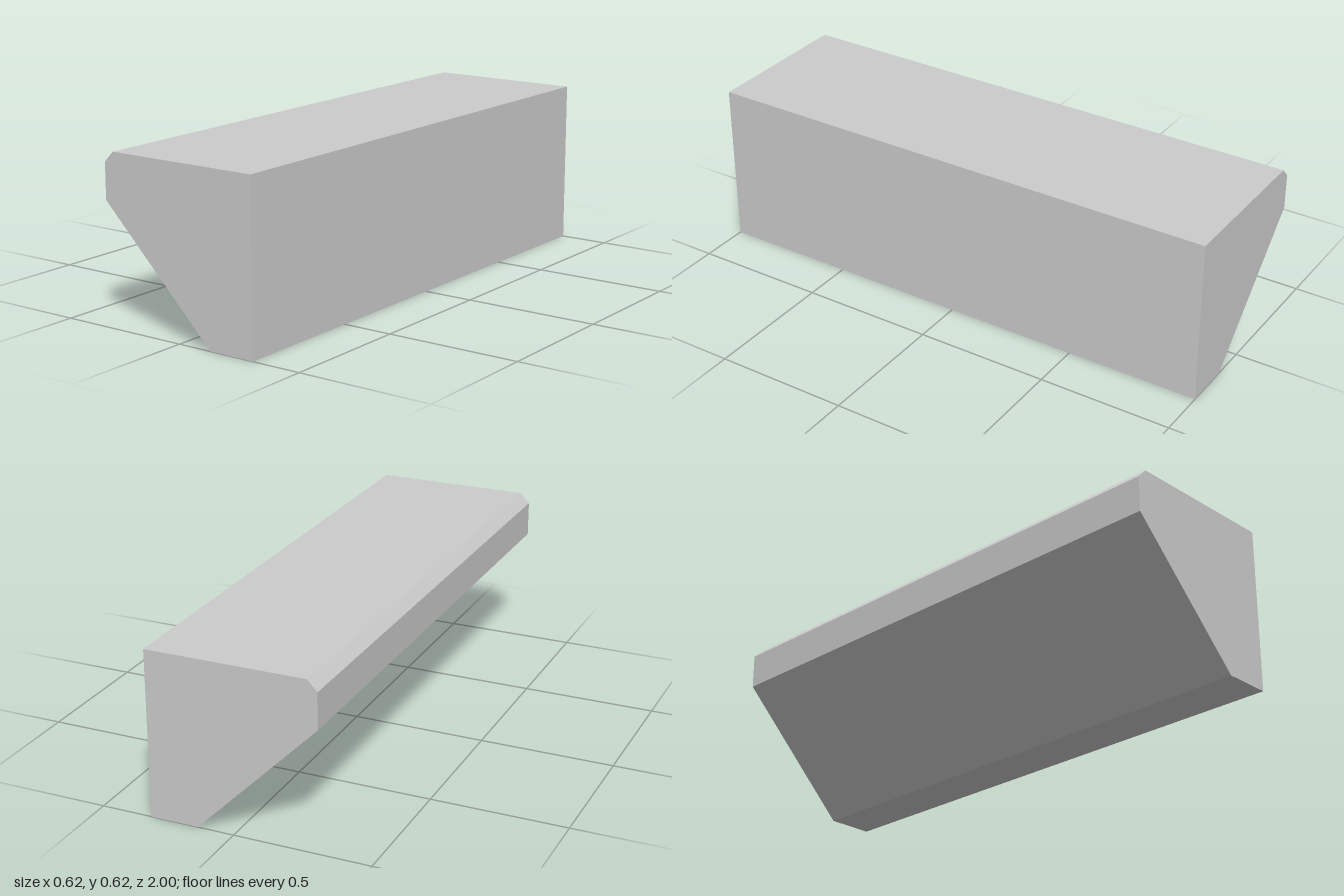
import * as THREE from 'three';

export function createModel() {
  const group = new THREE.Group();

  // Cross-section: square back, chamfered nose and sloping underside
  const profile = new THREE.Shape([
    [0.134, 0], [0.312, 0], [0.312, 0.616], [-0.276, 0.617], [-0.313, 0.579], [-0.313, 0.447],
  ].map(([x, y]) => new THREE.Vector2(x, y)));

  // Solid bar running the full length along z
  const geometry = new THREE.ExtrudeGeometry(profile, { depth: 2, bevelEnabled: false });
  geometry.translate(0, 0, -1);

  const bar = new THREE.Mesh(geometry, new THREE.MeshStandardMaterial({ color: 0xcccccc, flatShading: true }));
  bar.name = 'chamferedBar';
  group.add(bar);
  return group;
}
